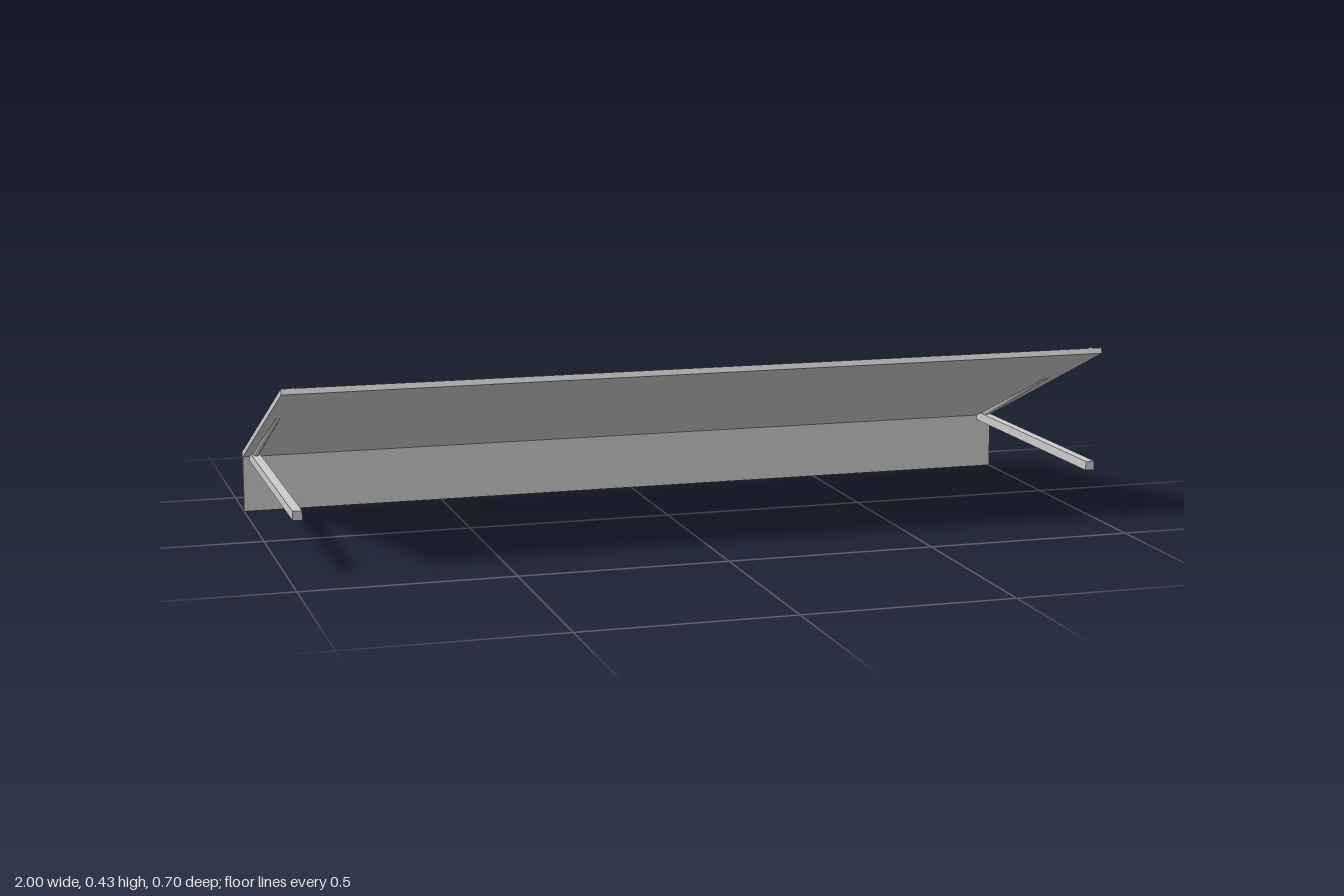
import * as THREE from 'three';

export function createModel() {
  const group = new THREE.Group();
  group.name = 'awning';
  const grey = new THREE.MeshStandardMaterial({ color: 0xcccccc });
  grey.name = 'light grey';

  const add = (name, geometry, x, y, z) => {
    const mesh = new THREE.Mesh(geometry, grey);
    mesh.name = name;
    mesh.position.set(x, y, z);
    group.add(mesh);
    return mesh;
  };

  // Sloping canopy, high at the front and hinged low at the back
  const length = Math.hypot(0.686, 0.278);
  const canopy = add('canopy', new THREE.BoxGeometry(2, 0.0138, length), 0, 0.281, -0.003);
  canopy.rotation.x = -Math.atan2(0.278, 0.686);

  // Valance hanging along the back edge
  add('valance', new THREE.BoxGeometry(2, 0.141, 0.0095), 0, 0.0705, -0.341);

  for (const side of [-1, 1]) {
    const x = side * 0.972;
    // Level support arm
    add(side > 0 ? 'leftArm' : 'rightArm', new THREE.BoxGeometry(0.022, 0.022, 0.69), x, 0.138, 0.007);

    // Thin round strut, partly sunk in the canopy
    const back = new THREE.Vector3(x, 0.137, -0.33);
    const front = new THREE.Vector3(x, 0.422, 0.336);
    const direction = front.clone().sub(back);
    const middle = back.clone().add(front).multiplyScalar(0.5);
    const strut = add(side > 0 ? 'leftStrut' : 'rightStrut',
      new THREE.CylinderGeometry(0.0068, 0.0068, direction.length(), 16), ...middle.toArray());
    strut.quaternion.setFromUnitVectors(new THREE.Vector3(0, 1, 0), direction.normalize());
  }
  return group;
}
